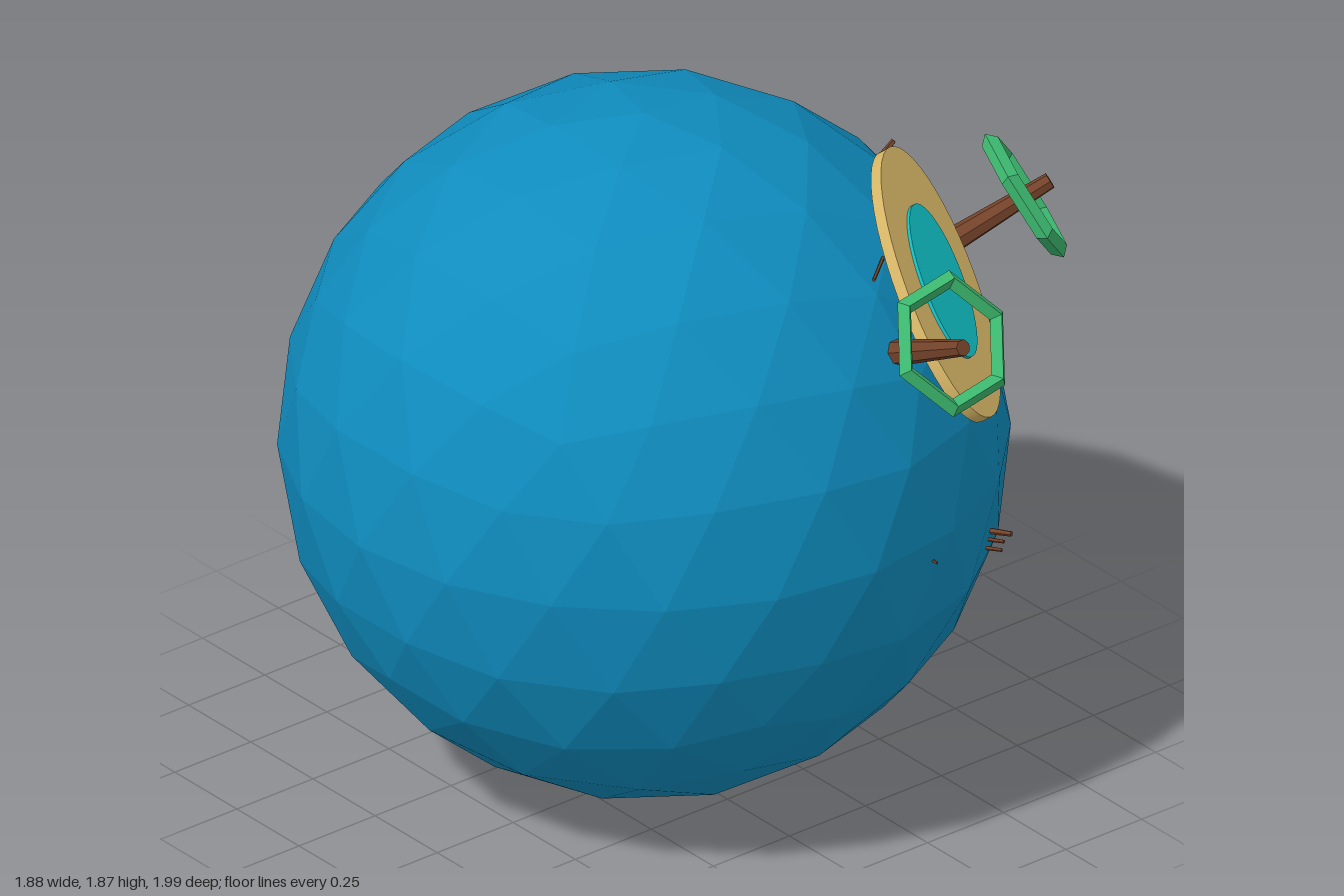
import * as THREE from 'three';

const mat = (name, color) => {
  const m = new THREE.MeshStandardMaterial({ color });
  m.name = name;
  return m;
};
const V = (x, y, z) => new THREE.Vector3(x, y, z);

export function createModel() {
  const ocean = mat('ocean blue', 0x0f8cbe);
  const sand = mat('sand', 0xd6b566);
  const lagoon = mat('lagoon turquoise', 0x10bfc4);
  const leaf = mat('leaf green', 0x3dba70);
  const bark = mat('bark brown', 0x74432a);

  const model = new THREE.Group();
  model.name = 'islandPlanet';
  const center = V(-0.019, 0.936, -0.062);

  const add = (name, geo, material, parent = model) => {
    const mesh = new THREE.Mesh(geo, material);
    mesh.name = name;
    parent.add(mesh);
    return mesh;
  };

  // Unshared corners give every facet its own flat normal
  const faceted = (geo) => {
    const g = geo.index ? geo.toNonIndexed() : geo;
    g.computeVertexNormals();
    return g;
  };

  // Tapered stick between two points
  const stick = (name, a, b, rA, rB, sides, parent = model) => {
    const dir = b.clone().sub(a);
    const geo = faceted(new THREE.CylinderGeometry(rB, rA, dir.length(), sides));
    const mesh = add(name, geo, bark, parent);
    mesh.position.copy(a).add(b).multiplyScalar(0.5);
    mesh.quaternion.setFromUnitVectors(V(0, 1, 0), dir.normalize());
    return mesh;
  };

  // Orient a mesh: local z along the normal, local x close to the hint
  const orient = (mesh, normal, hint) => {
    const n = normal.clone().normalize();
    const x = hint.clone().addScaledVector(n, -hint.dot(n)).normalize();
    const y = n.clone().cross(x);
    mesh.quaternion.setFromRotationMatrix(new THREE.Matrix4().makeBasis(x, y, n));
  };

  // Planet: icosphere with a corner at each pole
  const corners = [0, 1, 0];
  for (const [h, turn] of [[1, 0], [-1, Math.PI / 5]]) {
    for (let k = 0; k < 5; k++) {
      const a = turn + (k * Math.PI * 2) / 5;
      corners.push(0.8944 * Math.cos(a), 0.4472 * h, 0.8944 * Math.sin(a));
    }
  }
  corners.push(0, -1, 0);
  const faces = [];
  for (let k = 0; k < 5; k++) {
    const u = 1 + k, u2 = 1 + ((k + 1) % 5);
    const l = 6 + k, l2 = 6 + ((k + 1) % 5);
    faces.push(0, u2, u, u, u2, l, u2, l2, l, l, l2, 11);
  }
  add('planet', faceted(new THREE.PolyhedronGeometry(corners, faces, 0.936, 3)), ocean)
    .position.copy(center);

  // Beach and lagoon: oval discs lying on the surface
  const up = V(0.493, 0.574, 0.653).normalize();
  const longAxis = V(0.20, 0.65, -0.73);
  const disc = (name, a, b, low, high, material) => {
    const geo = new THREE.CylinderGeometry(1, 1, high - low, 48);
    geo.rotateX(Math.PI / 2);
    geo.scale(a, b, 1);
    const mesh = add(name, geo, material);
    orient(mesh, up, longAxis);
    mesh.position.copy(center).addScaledVector(up, (low + high) / 2);
  };
  disc('beach', 0.38, 0.19, 0.918, 0.95, sand);
  disc('lagoon', 0.215, 0.108, 0.94, 0.959, lagoon);

  // Palm trees: tapered trunk with a six-sided leaf ring
  const palm = (name, base, tip, crown, normal, hint) => {
    const tree = new THREE.Group();
    tree.name = name;
    model.add(tree);
    const root = base.clone().addScaledVector(tip.clone().sub(base), -0.15);
    stick('trunk', root, tip, 0.036, 0.022, 7, tree);
    const ring = add('leafRing', faceted(new THREE.TorusGeometry(0.166, 0.024, 4, 6)), leaf, tree);
    ring.position.copy(crown);
    orient(ring, normal, hint);
  };
  palm('frontPalm', V(0.197, 1.43, 0.71), V(0.208, 1.54, 0.945),
    V(0.215, 1.525, 0.888), V(0.05, 0.52, 0.85), V(1, 0.1, -0.11));
  palm('leftPalm', V(0.63, 1.45, 0.37), V(0.87, 1.597, 0.485),
    V(0.80, 1.57, 0.467), V(0.785, 0.49, 0.376), V(0.2, 0.04, -1));

  // Twig clusters: three short prongs side by side
  const twigs = (name, at, dir, step) => {
    const cluster = new THREE.Group();
    cluster.name = name;
    model.add(cluster);
    for (let i = -1; i <= 1; i++) {
      const a = at.clone().addScaledVector(step, i);
      const r = i === 1 ? 0.009 : 0.006;
      const b = a.clone().addScaledVector(dir, i === 1 ? 0.06 : 0.045);
      stick('prong', a, b, r, r * 0.8, 5, cluster);
    }
  };
  twigs('upperTwigs', V(0.635, 1.57, 0.09), V(0.68, 0.7, 0.15), V(-0.014, 0.014, 0.012));
  twigs('lowerTwigs', V(0.5, 0.77, 0.69), V(0.4, 0.1, 0.9), V(0.004, 0.025, 0.004));

  // Driftwood beside the beach and a small buried stub
  stick('driftwood', V(0.197, 1.592, 0.598), V(0.29, 1.592, 0.522), 0.005, 0.005, 5);
  stick('stub', V(0.198, 0.875, 0.81), V(0.2, 0.875, 0.85), 0.004, 0.004, 5);

  return model;
}
